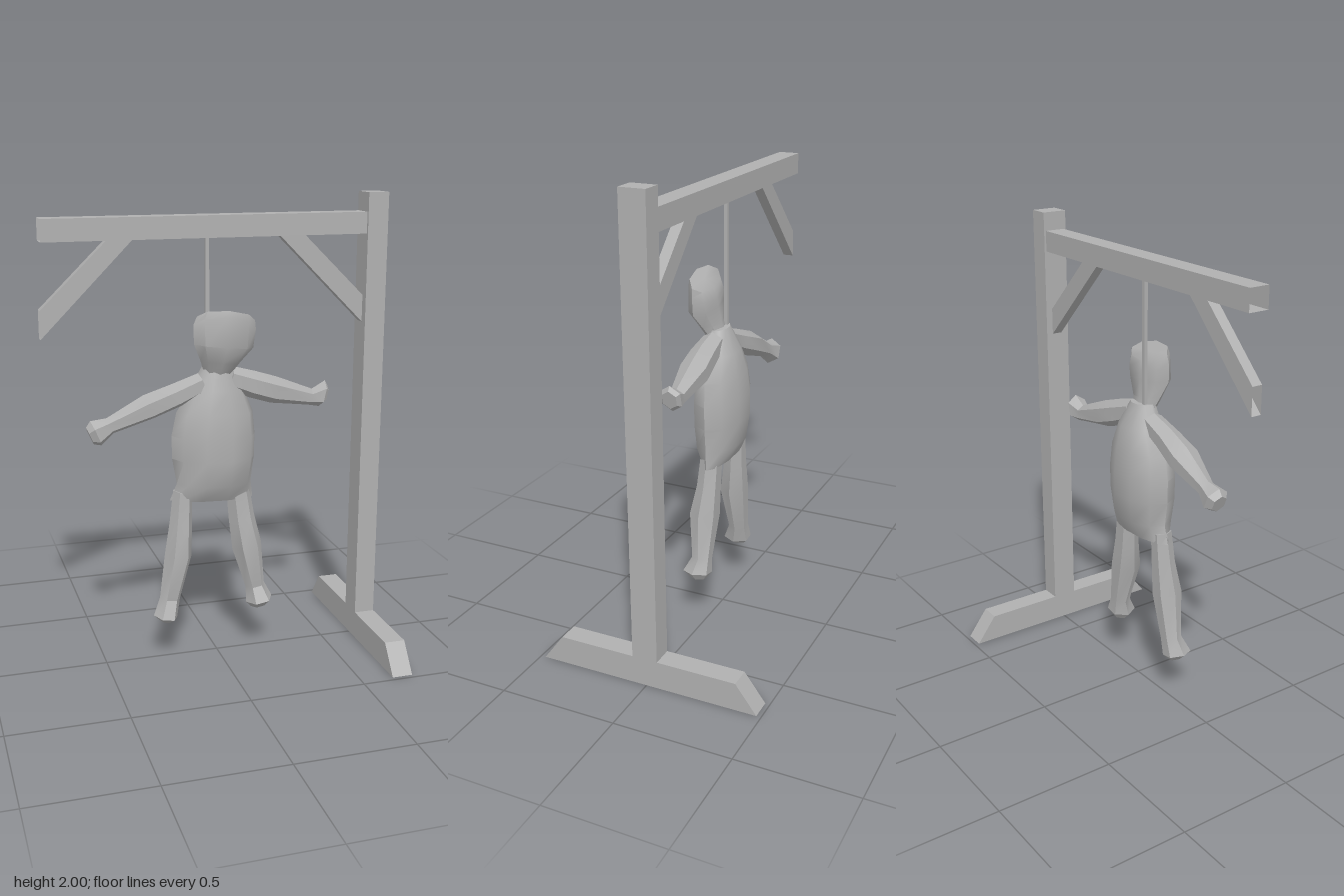
import * as THREE from 'three';
import { toCreasedNormals } from 'three/addons/utils/BufferGeometryUtils.js';

// Four-cornered profile (counter-clockwise) extruded along z; one edge may stay open.
function slab(points, depth, openEdge = -1) {
  const h = depth / 2, pos = [];
  const quad = (a, b, c, d) => [a, b, c, a, c, d].forEach(p => pos.push(...p));
  const front = points.map(([x, y]) => [x, y, h]);
  const back = points.map(([x, y]) => [x, y, -h]);
  quad(...front);
  quad(back[3], back[2], back[1], back[0]);
  for (let i = 0; i < 4; i++) {
    const j = (i + 1) % 4;
    if (i !== openEdge) quad(front[i], back[i], back[j], front[j]);
  }
  const g = new THREE.BufferGeometry();
  g.setAttribute('position', new THREE.Float32BufferAttribute(pos, 3));
  g.computeVertexNormals();
  return g;
}

// Closed loft through elliptical rings [x, y, z, radius across, radius in z].
function loft(rings, sides, crease, bend) {
  const first = rings[0], last = rings[rings.length - 1];
  const dir = new THREE.Vector2(last[0] - first[0], last[1] - first[1]).normalize();
  const pos = [], idx = [];
  for (const [x, y, z, ra, rz] of rings) {
    for (let j = 0; j < sides; j++) {
      const a = (j / sides) * Math.PI * 2, c = Math.cos(a) * ra;
      pos.push(x + dir.y * c, y - dir.x * c, z + Math.sin(a) * rz);
    }
  }
  const top = (rings.length - 1) * sides, c0 = rings.length * sides;
  pos.push(...first.slice(0, 3), ...last.slice(0, 3));
  for (let j = 0; j < sides; j++) {
    const k = (j + 1) % sides;
    for (let r = 0; r < top; r += sides) {
      idx.push(r + j, r + sides + j, r + k, r + k, r + sides + j, r + sides + k);
    }
    idx.push(c0, j, k, c0 + 1, top + k, top + j);
  }
  if (bend) {
    for (let i = 0; i < pos.length; i += 3) pos[i + 1] += bend(pos[i], pos[i + 1], pos[i + 2]);
  }
  const g = new THREE.BufferGeometry();
  g.setAttribute('position', new THREE.Float32BufferAttribute(pos, 3));
  g.setIndex(idx);
  return toCreasedNormals(g, crease);
}

export function createModel() {
  const model = new THREE.Group();
  const grey = new THREE.MeshStandardMaterial({ color: 0xb0b0b0, side: THREE.DoubleSide });
  grey.name = 'plain grey';
  const add = (name, geometry, x = 0, y = 0, z = 0) => {
    const mesh = new THREE.Mesh(geometry, grey);
    mesh.name = name;
    mesh.position.set(x, y, z);
    model.add(mesh);
    return mesh;
  };

  // Wooden frame
  add('post', new THREE.BoxGeometry(0.09, 1.89, 0.11), 0.685, 1.055, 0.006);
  const foot = add('baseFoot',
    slab([[-0.48, 0], [0.48, 0], [0.39, 0.12], [-0.39, 0.12]], 0.09, 0), 0.685);
  foot.rotation.y = -Math.PI / 2;
  add('beam', slab([[-0.725, 1.83], [0.64, 1.83], [0.64, 1.92], [-0.725, 1.92]], 0.09, 3), 0, 0, 0.005);
  add('rightBrace',
    slab([[-0.735, 1.445], [-0.355, 1.83], [-0.46, 1.83], [-0.735, 1.56]], 0.045, 3), 0, 0, 0.003);
  add('leftBrace',
    slab([[0.64, 1.455], [0.64, 1.57], [0.375, 1.83], [0.265, 1.83]], 0.045, 0), 0, 0, 0.003);

  // Rope, running down behind the head
  add('rope', new THREE.BoxGeometry(0.016, 0.55, 0.016), -0.043, 1.555, 0.003);

  // Drooping head, its crown higher at the front
  add('head', loft([
    [-0.005, 1.27, 0.03, 0.06, 0.04],
    [0.0, 1.32, 0.05, 0.085, 0.045],
    [0.01, 1.39, 0.07, 0.128, 0.056],
    [0.015, 1.47, 0.068, 0.135, 0.05],
    [0.02, 1.505, 0.07, 0.125, 0.04],
  ], 8, 0.8, (x, y, z) => y > 1.45 ? (z - 0.07) * 0.9 : 0));

  // Sack-like body with a flared hem
  add('body', loft([
    [-0.025, 0.715, 0.005, 0.185, 0.05],
    [-0.015, 0.79, 0.01, 0.165, 0.095],
    [-0.017, 0.9, 0.008, 0.182, 0.108],
    [-0.017, 1.0, 0.008, 0.184, 0.108],
    [-0.012, 1.1, 0.01, 0.168, 0.1],
    [-0.005, 1.2, 0.01, 0.118, 0.08],
    [-0.005, 1.3, 0.02, 0.064, 0.045],
  ], 10, 1.0));

  // Arms with blunt hands
  add('rightArm', loft([
    [-0.07, 1.23, 0.02, 0.045, 0.05],
    [-0.18, 1.185, 0.022, 0.052, 0.058],
    [-0.3, 1.14, 0.012, 0.055, 0.07],
    [-0.46, 1.068, 0, 0.036, 0.035],
    [-0.52, 1.04, 0, 0.058, 0.055],
    [-0.545, 1.03, 0, 0.04, 0.035],
  ], 6, 0.5));
  add('leftArm', loft([
    [0.05, 1.245, 0.02, 0.05, 0.05],
    [0.15, 1.21, 0.02, 0.058, 0.06],
    [0.25, 1.178, 0.012, 0.058, 0.065],
    [0.42, 1.133, 0, 0.036, 0.035],
    [0.475, 1.145, 0, 0.058, 0.05],
    [0.49, 1.143, 0, 0.04, 0.035],
  ], 6, 0.5));

  // Legs with stubby feet
  add('rightLeg', loft([
    [-0.155, 0.76, 0.01, 0.042, 0.045],
    [-0.165, 0.62, 0.015, 0.05, 0.05],
    [-0.18, 0.48, 0.025, 0.06, 0.064],
    [-0.218, 0.28, 0.02, 0.045, 0.044],
    [-0.242, 0.205, 0.035, 0.053, 0.064],
    [-0.243, 0.182, 0.03, 0.025, 0.035],
  ], 6, 0.5));
  add('leftLeg', loft([
    [0.092, 0.75, 0.01, 0.052, 0.045],
    [0.108, 0.62, 0.015, 0.058, 0.05],
    [0.13, 0.49, 0.025, 0.067, 0.064],
    [0.17, 0.3, 0.02, 0.043, 0.044],
    [0.185, 0.235, 0.035, 0.06, 0.064],
    [0.185, 0.205, 0.03, 0.035, 0.035],
  ], 6, 0.5));

  return model;
}
